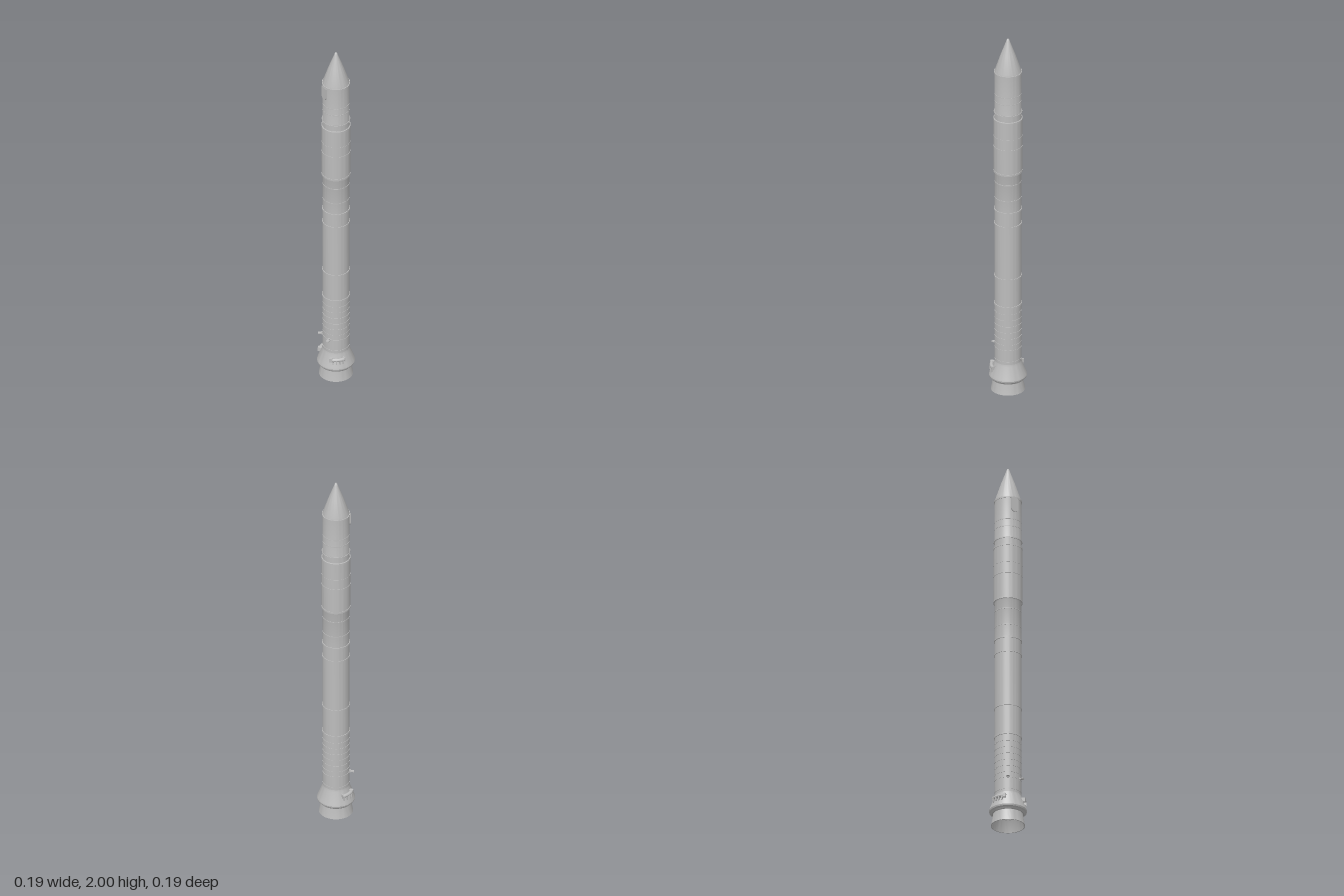
import * as THREE from 'three';
import { toCreasedNormals } from 'three/addons/utils/BufferGeometryUtils.js';

export function createModel() {
  const root = new THREE.Group();
  root.name = 'rocket';
  const grey = new THREE.MeshStandardMaterial({ color: 0xbcbcbc });
  grey.name = 'hull grey';

  const add = (name, geometry, parent = root) => {
    const mesh = new THREE.Mesh(geometry, grey);
    mesh.name = name;
    parent.add(mesh);
    return mesh;
  };
  // Profiles are [radius, height], listed so that the outside faces outwards
  const lathe = (name, profile, segments = 64) => {
    const pts = profile.map(([r, y]) => new THREE.Vector2(r, y));
    return add(name, toCreasedNormals(new THREE.LatheGeometry(pts, segments), 0.4));
  };

  // Hollow engine nozzle: inner wall down, lip, outer wall up
  lathe('nozzle', [[0, 0.12], [0.045, 0.11], [0.07, 0.065], [0.083, 0],
    [0.087, 0], [0.081, 0.03], [0.076, 0.066]]);

  // Flared skirt with its turned-in lower edge
  lathe('skirt', [[0.07, 0.062], [0.084, 0.062], [0.088, 0.069], [0.0945, 0.074],
    [0.0965, 0.082], [0.094, 0.092], [0.07, 0.153], [0.068, 0.165]]);

  // Stages, the third slightly wider
  lathe('firstStage', [[0.068, 0.16], [0.068, 0.49]]);
  lathe('secondStage', [[0.068, 0.49], [0.068, 1.03]]);
  lathe('interstage', [[0.068, 1.03], [0.0685, 1.24], [0.0725, 1.25]]);
  lathe('thirdStage', [[0.0725, 1.25], [0.0725, 1.545], [0.0695, 1.552], [0.0695, 1.59]]);
  lathe('payloadSection', [[0.0695, 1.59], [0.0685, 1.595], [0.0685, 1.81]]);
  lathe('noseCone', [[0.068, 1.812], [0.0665, 1.822], [0.037, 1.91], [0.0095, 1.984],
    [0.0065, 1.993], [0.003, 1.998], [0, 2]]);

  // Joint rings: height, outer radius, thickness
  const ring = (name, y, r, h) => lathe(name, [[r - 0.006, y - h / 2], [r, y - h / 2],
    [r, y + h / 2], [r - 0.006, y + h / 2]]);
  [[0.49, 0.0715, 0.01], [0.65, 0.071, 0.006], [0.95, 0.071, 0.006], [1.03, 0.0715, 0.008],
    [1.25, 0.0745, 0.01], [1.39, 0.0745, 0.007], [1.545, 0.0745, 0.01],
    [1.585, 0.0725, 0.006], [1.81, 0.0715, 0.008]]
    .forEach(([y, r, h]) => ring('jointRing', y, r, h));

  // Fine ribs
  [0.18, 0.245, 0.275, 0.31, 0.345, 0.38, 0.415, 0.45, 1.1, 1.19, 1.65, 1.69]
    .forEach(y => ring('rib', y, 0.0697, 0.004));
  ring('rib', 1.45, 0.0737, 0.004);

  // Curved ducts on the skirt and small fins, mirrored front to back on the right side
  for (const s of [1, -1]) {
    const polar = (a, r, y) => new THREE.Vector3(-Math.sin(a) * r, y, s * Math.cos(a) * r);
    const duct = new THREE.Group();
    duct.name = s > 0 ? 'frontDuct' : 'backDuct';
    root.add(duct);

    const path = [];
    for (let i = 0; i <= 6; i++) path.push(polar(i / 6 * 0.82, 0.084, 0.134));
    add('ductPipe', new THREE.TubeGeometry(new THREE.CatmullRomCurve3(path), 24, 0.0095, 12), duct);

    const block = (name, a, r, y, w, h, d, parent) => {
      const mesh = add(name, new THREE.BoxGeometry(w, h, d), parent);
      mesh.position.copy(polar(a, r, y));
      mesh.rotation.y = Math.atan2(mesh.position.x, mesh.position.z);
      return mesh;
    };
    // End caps and the feet below the pipe
    block('ductCap', 0.02, 0.083, 0.134, 0.004, 0.02, 0.021, duct);
    block('ductHead', 0.83, 0.082, 0.133, 0.016, 0.022, 0.022, duct);
    for (let i = 0; i < 4; i++) {
      block('ductFoot', 0.1 + i * 0.2, 0.088, 0.12, 0.006, 0.02, 0.011, duct);
    }
    // Small horizontal fin with a bracket
    block('fin', 1.05, 0.079, 0.245, 0.014, 0.005, 0.026, root);
    block('finBracket', 1.05, 0.07, 0.245, 0.01, 0.016, 0.008, root);
  }

  // Cover plate below the nose, wrapped onto the hull, with a rounded lower end
  const shape = new THREE.Shape();
  shape.moveTo(-0.02, 1.805);
  shape.lineTo(-0.02, 1.75);
  shape.absarc(0, 1.75, 0.02, Math.PI, Math.PI * 2, false);
  shape.lineTo(0.02, 1.805);
  shape.closePath();
  const plate = new THREE.ExtrudeGeometry(shape, { depth: 0.009, bevelEnabled: false });
  plate.translate(0, 0, 0.064);
  plate.rotateY(-Math.PI / 2);
  add('coverPlate', plate);

  return root;
}
